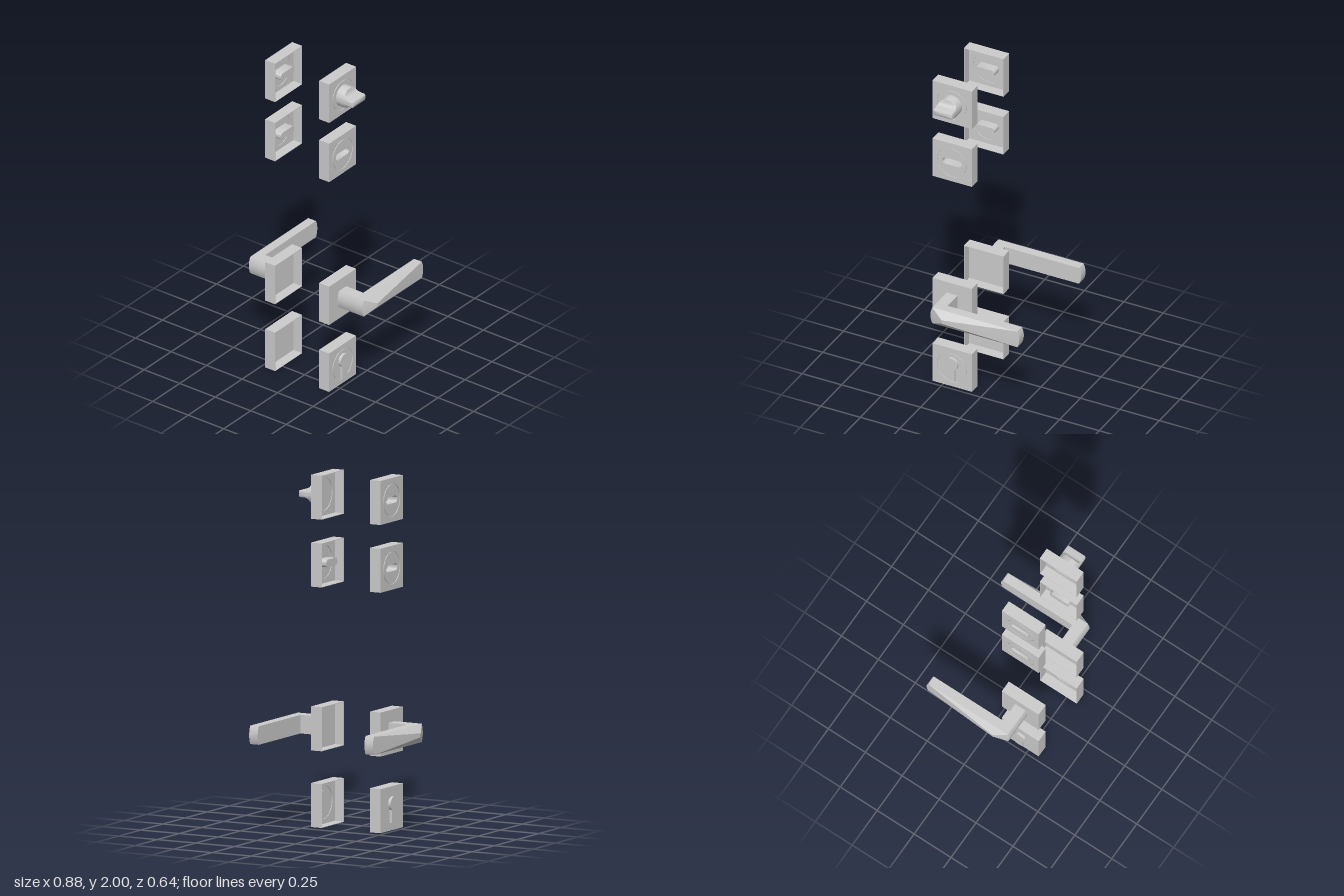
import * as THREE from 'three';
import { mergeVertices, toCreasedNormals } from 'three/addons/utils/BufferGeometryUtils.js';

const material = new THREE.MeshStandardMaterial({ color: 0xcccccc, side: THREE.DoubleSide });
const HALF = 0.125, INNER = 0.155, FACE = 0.225, CENTRE_Z = 0.194;

function mesh(name, geometry) {
  const m = new THREE.Mesh(geometry, material);
  m.name = name;
  return m;
}

// Extrude an outline (drawn facing the viewer) outwards along x from x0 to x1
function slab(name, shape, x0, x1) {
  const g = new THREE.ExtrudeGeometry(shape, { depth: x1 - x0, bevelEnabled: false, curveSegments: 24 });
  g.translate(0, 0, x0).rotateY(Math.PI / 2);
  return mesh(name, toCreasedNormals(g, 0.5));
}

function square(h) {
  return new THREE.Shape([[-h, -h], [h, -h], [h, h], [-h, h]].map(p => new THREE.Vector2(...p)));
}

function circle(r) {
  return new THREE.Shape().absarc(0, 0, r, 0, Math.PI * 2, false);
}

function stadium(halfLength, r) {
  const d = halfLength - r;
  const s = new THREE.Shape();
  s.absarc(d, 0, r, -Math.PI / 2, Math.PI / 2, false);
  s.absarc(-d, 0, r, Math.PI / 2, Math.PI * 1.5, false);
  s.closePath();
  return s;
}

function withHole(shape, hole) {
  if (hole) shape.holes.push(hole);
  return shape;
}

// Hollow square rosette, open towards the door; optional grooved disc and slot
function rosette(name, { disc = false, slot = false } = {}) {
  const g = new THREE.Group();
  g.name = name;
  g.add(slab('rosetteRim', withHole(square(HALF), square(HALF - 0.003)), INNER, FACE));
  g.add(slab('rosettePlate', withHole(square(HALF - 0.003), disc && circle(0.095)), 0.213, FACE));
  if (disc) {
    const hole = () => slot && stadium(0.064, 0.022);
    g.add(slab('grooveFloor', withHole(circle(0.095), hole()), 0.217, 0.221));
    g.add(slab('rosetteDisc', withHole(circle(0.089), hole()), 0.221, FACE));
  }
  if (slot) {
    g.add(slab('slotWall', withHole(stadium(0.064, 0.022), stadium(0.062, 0.02)), 0.163, FACE - 0.001));
    g.add(slab('slotFloor', stadium(0.063, 0.021), 0.162, 0.164));
  }
  return g;
}

// Raised lock cylinder with a round head and straight stem
function lockCylinder() {
  const r = 0.04, w = 0.0225, cy = 0.028;
  const a = Math.asin(w / r);
  const s = new THREE.Shape();
  s.moveTo(-w, -0.08);
  s.lineTo(w, -0.08);
  s.absarc(0, cy, r, -Math.PI / 2 + a, Math.PI * 1.5 - a, false);
  s.closePath();
  return slab('lockCylinder', s, 0.213, 0.241);
}

// Round knob whose outer half is cut down to a flat thumb grip
function thumbTurn() {
  const rings = [
    [0.222, 0.063, 0.063], [0.27, 0.063, 0.063], [0.275, 0.0625, 0.06],
    [0.277, 0.0625, 0.05], [0.28, 0.0625, 0.038], [0.286, 0.0625, 0.028],
    [0.295, 0.0625, 0.022], [0.305, 0.0625, 0.02], [0.335, 0.062, 0.02],
    [0.34, 0.06, 0.018], [0.342, 0.057, 0.015],
  ];
  const N = 64, pos = [], index = [];
  for (const [x, r, h] of rings) {
    for (let j = 0; j < N; j++) {
      const t = (j / N) * Math.PI * 2;
      pos.push(x, THREE.MathUtils.clamp(r * Math.cos(t), -h, h), r * Math.sin(t));
    }
  }
  for (let i = 0; i < rings.length - 1; i++) {
    for (let j = 0; j < N; j++) {
      const a = i * N + j, b = i * N + (j + 1) % N;
      index.push(a, b, b + N, a, b + N, a + N);
    }
  }
  const last = (rings.length - 1) * N, tip = pos.length / 3;
  pos.push(rings.at(-1)[0], 0, 0);
  for (let j = 0; j < N; j++) index.push(tip, last + j, last + (j + 1) % N);
  const g = new THREE.BufferGeometry();
  g.setAttribute('position', new THREE.Float32BufferAttribute(pos, 3));
  g.setIndex(index);
  return mesh('thumbTurn', toCreasedNormals(mergeVertices(g), 0.6));
}

// Counter-clockwise bar outline with bulged ends
function barOutline(s0, s1, bulge0, bulge1) {
  const h = 0.0525, n = 10, pts = [];
  const end = (s, bulge, dir) => {
    for (let i = 0; i <= n; i++) {
      const k = (2 * i / n - 1) * dir;
      pts.push(new THREE.Vector2(s + dir * bulge * (1 - k * k), k * h));
    }
  };
  end(s1, bulge1, 1);
  end(s0, bulge0, -1);
  return pts;
}

// Faceted outer face rising from the arm outline to a short upright ridge
function armFacets(outline, x0, x1, peakS) {
  const pos = [];
  const peak = p => [peakS, p.y * 0.21, x1];
  outline.forEach((p, i) => {
    const q = outline[(i + 1) % outline.length];
    pos.push(p.x, p.y, x0, q.x, q.y, x0, ...peak(q));
    if (p.y !== q.y) pos.push(p.x, p.y, x0, ...peak(q), ...peak(p));
  });
  const g = new THREE.BufferGeometry();
  g.setAttribute('position', new THREE.Float32BufferAttribute(pos, 3));
  g.rotateY(Math.PI / 2);
  return mesh('armFacets', toCreasedNormals(g, 0.25));
}

function lever() {
  const g = new THREE.Group();
  g.name = 'lever';
  const arm = barOutline(-0.034, 0.505, 0.012, 0.012);
  g.add(slab('leverNeck', new THREE.Shape(barOutline(-0.034, 0.034, 0.012, 0)), 0.22, 0.345));
  g.add(slab('leverArm', new THREE.Shape(arm), 0.345, 0.4));
  g.add(armFacets(arm, 0.4, 0.438, 0.044));
  return g;
}

export function createModel() {
  const model = new THREE.Group();
  model.name = 'doorHandleSet';

  for (const side of [1, -1]) {
    const left = side > 0;
    const place = (part, y) => {
      part.position.set(0, y, CENTRE_Z);
      if (!left) part.rotation.y = Math.PI;
      model.add(part);
      return part;
    };

    // Top: thumb turn on one side, slotted release on the other
    const top = place(rosette('topRosette', { disc: true, slot: !left }), 1.875);
    if (left) top.add(thumbTurn());

    place(rosette('slotRosette', { disc: true, slot: true }), 1.49);
    place(rosette('leverRosette'), 0.56);
    place(rosette('lockRosette', { disc: left }), 0.125).add(lockCylinder());

    // Levers point the same way, so the second is turned about z
    const handle = lever();
    handle.position.set(0, 0.562, CENTRE_Z);
    if (!left) handle.rotation.z = Math.PI;
    model.add(handle);
  }
  return model;
}
